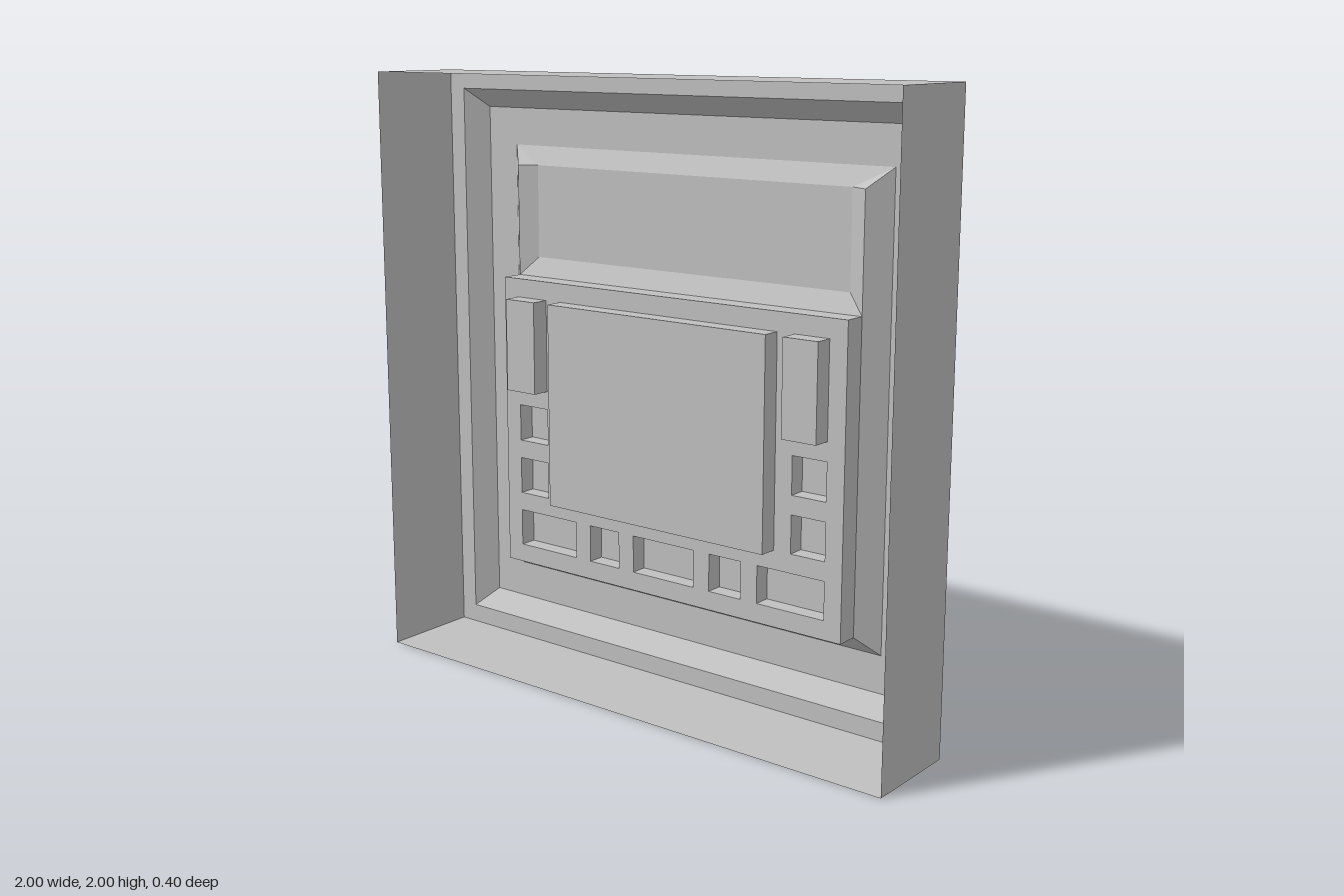
import * as THREE from 'three';

const shell = new THREE.MeshStandardMaterial({ color: 0xc0c0c0, side: THREE.DoubleSide });
shell.name = 'plainGrey';

// Depth levels of the pressed sheet
const FRONT = 0.2, LIP = -0.1375, BACK = -0.2, PANEL = -0.0625, RAISED = 0, SUNK = -0.12, WINDOW = -0.168;

// Rectangles are [x0, x1, y0, y1]
const square = h => [-h, h, 1 - h, 1 + h];
const corners = ([x0, x1, y0, y1], z) => [[x0, y0, z], [x1, y0, z], [x1, y1, z], [x0, y1, z]];
const quad = (a, b, c, d) => [a, b, c, a, c, d];

// Sloped or straight band between two rectangles; sides: 0 bottom, 1 right, 2 top, 3 left
function band(outer, zo, inner, zi, sides = [0, 1, 2, 3]) {
  const o = corners(outer, zo), n = corners(inner, zi);
  return sides.flatMap(i => {
    const j = (i + 1) % 4;
    return quad(o[i], o[j], n[j], n[i]);
  });
}

function addSheet(group, name, points) {
  const geo = new THREE.BufferGeometry();
  geo.setAttribute('position', new THREE.Float32BufferAttribute(points.flat(), 3));
  geo.computeVertexNormals();
  const mesh = new THREE.Mesh(geo, shell);
  mesh.name = name;
  group.add(mesh);
}

export function createModel() {
  const model = new THREE.Group();
  model.name = 'wallPanel';

  // Outer frame: walls, back lip, and raised rim
  addSheet(model, 'outerWalls', band(square(1), FRONT, square(1), LIP));
  addSheet(model, 'backLip', band(square(1), LIP, square(0.9375), LIP));
  addSheet(model, 'rimOuterBevel', band(square(0.9375), LIP, square(0.875), BACK));
  addSheet(model, 'rimFlat', band(square(0.875), BACK, square(0.75), BACK));
  addSheet(model, 'rimInnerBevel', band(square(0.75), BACK, square(0.6875), LIP, [0, 1, 3]));

  // Window: shallow tray above the control panel, blending into the rim at the top
  const mouth = [-0.6875, 0.6875, 1.3125, 1.6875];
  const floor = [-0.625, 0.625, 1.375, 1.6875];
  addSheet(model, 'windowBevel', band(mouth, LIP, floor, WINDOW, [0, 1, 3]));
  addSheet(model, 'windowFloor', quad(...corners(floor, WINDOW)));
  const top = [[0.75, 1.75, BACK], [-0.75, 1.75, BACK], [-0.625, 1.6875, WINDOW], [0.625, 1.6875, WINDOW]];
  addSheet(model, 'windowTopBevel', [
    ...quad(...top),
    top[0], top[3], [0.6875, 1.6875, LIP],
    top[1], [-0.6875, 1.6875, LIP], top[2],
  ]);

  // Control panel details, mirrored left and right
  const mirror = ([x0, x1, y0, y1]) => [-x1, -x0, y0, y1];
  const both = r => [r, mirror(r)];
  const details = [
    { name: 'screen', z: RAISED, rects: [[-0.4375, 0.4375, 0.5625, 1.25]] },
    { name: 'tallButton', z: RAISED, rects: both([0.5, 0.625, 0.9375, 1.25]) },
    { name: 'sideKey', z: SUNK, rects: [...both([0.5, 0.625, 0.75, 0.875]), ...both([0.5, 0.625, 0.5625, 0.6875])] },
    { name: 'bottomKey', z: SUNK, rects: [
      ...both([0.375, 0.625, 0.375, 0.5]), ...both([0.1875, 0.3125, 0.375, 0.5]), [-0.125, 0.125, 0.375, 0.5]] },
  ];

  // Panel plate with an opening under each detail
  const plate = [-0.6875, 0.6875, 0.3125, 1.3125];
  addSheet(model, 'panelWalls', band(plate, LIP, plate, PANEL));
  const outline = r => corners(r, 0).map(([x, y]) => new THREE.Vector2(x, y));
  const shape = new THREE.Shape(outline(plate));
  for (const d of details) for (const r of d.rects) shape.holes.push(new THREE.Path(outline(r).reverse()));
  const face = new THREE.Mesh(new THREE.ShapeGeometry(shape), shell);
  face.name = 'panelFace';
  face.position.z = PANEL;
  model.add(face);

  // Raised screen and buttons, sunken keys
  for (const { name, z, rects } of details) {
    for (const r of rects) addSheet(model, name, [...band(r, PANEL, r, z), ...quad(...corners(r, z))]);
  }
  return model;
}
